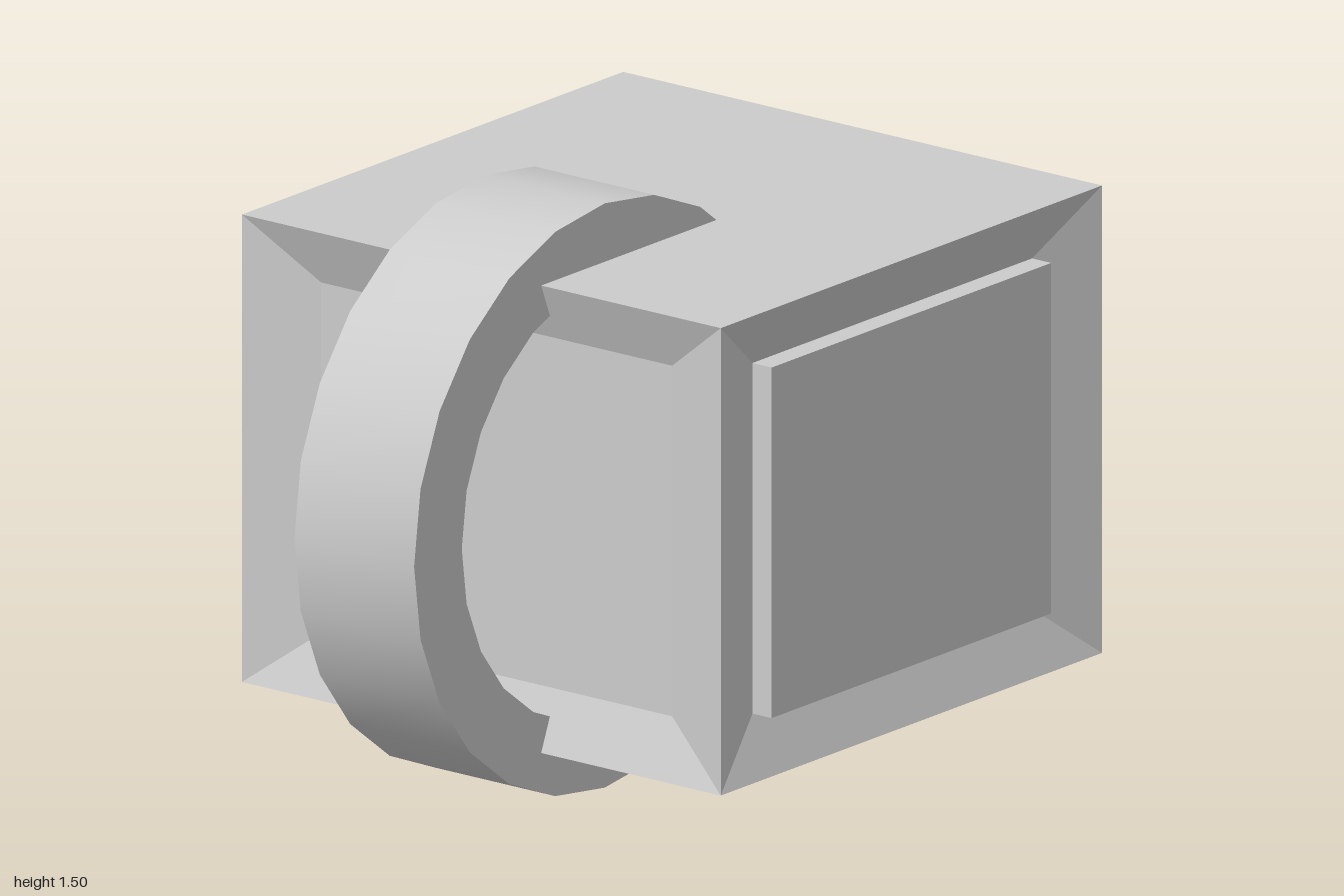
import * as THREE from 'three';
import { toCreasedNormals } from 'three/addons/utils/BufferGeometryUtils.js';

const SIZE = 1.5, HEIGHT = 1.2;               // body footprint and height
const BODY = new THREE.Vector3(0.25, 0.75, 0); // body centre
const INSET_X = 0.2, INSET_Y = 0.15, DEPTH = 0.06;

const material = new THREE.MeshStandardMaterial({ color: 0xcccccc });

function addMesh(group, name, geometry, x, y, z) {
  const mesh = new THREE.Mesh(geometry, material);
  mesh.name = name;
  mesh.position.set(x, y, z);
  group.add(mesh);
  return mesh;
}

// Corners of a rectangle facing +z, counter-clockwise from lower left
function rectangle(w, h, z) {
  return [[-w, -h, z], [w, -h, z], [w, h, z], [-w, h, z]];
}

// Side wall facing +z: four sloping borders around a sunken floor
function recessedWall() {
  const s = SIZE / 2, h = HEIGHT / 2;
  const rim = rectangle(s, h, s);
  const floor = rectangle(s - INSET_X, h - INSET_Y, s - DEPTH);
  const positions = [];
  const quad = (a, b, c, d) => positions.push(...a, ...b, ...c, ...a, ...c, ...d);
  for (let i = 0; i < 4; i++) {
    const j = (i + 1) % 4;
    quad(rim[i], rim[j], floor[j], floor[i]);
  }
  quad(...floor);
  const geometry = new THREE.BufferGeometry();
  geometry.setAttribute('position', new THREE.Float32BufferAttribute(positions, 3));
  geometry.computeVertexNormals();
  return geometry;
}

export function createModel() {
  const model = new THREE.Group();
  model.name = 'ringedBox';

  // Body: four recessed walls closed by a flat top and bottom
  const body = new THREE.Group();
  body.name = 'body';
  body.position.copy(BODY);
  model.add(body);
  const wall = recessedWall();
  ['frontWall', 'leftWall', 'backWall', 'rightWall'].forEach((name, i) => {
    addMesh(body, name, wall, 0, 0, 0).rotation.y = i * Math.PI / 2;
  });
  const lid = new THREE.PlaneGeometry(SIZE, SIZE);
  addMesh(body, 'top', lid, 0, HEIGHT / 2, 0).rotation.x = -Math.PI / 2;
  addMesh(body, 'bottom', lid, 0, -HEIGHT / 2, 0).rotation.x = Math.PI / 2;

  // Front panel rises from the recess floor, flush with the rim
  addMesh(body, 'frontPanel',
    new THREE.BoxGeometry(SIZE - 2 * INSET_X, HEIGHT - 2 * INSET_Y, DEPTH),
    0, 0, SIZE / 2 - DEPTH / 2);

  // Handle: a flat-sided ring passing through the body
  const outer = 0.75, inner = 0.5625, half = 0.1875;
  const profile = [[outer, -half], [outer, half], [inner, half], [inner, -half], [outer, -half]]
    .map(([x, y]) => new THREE.Vector2(x, y));
  const ring = toCreasedNormals(new THREE.LatheGeometry(profile, 24), 0.6);
  addMesh(model, 'handle', ring, -0.25, 0.75, 0).rotation.x = Math.PI / 2;

  return model;
}
